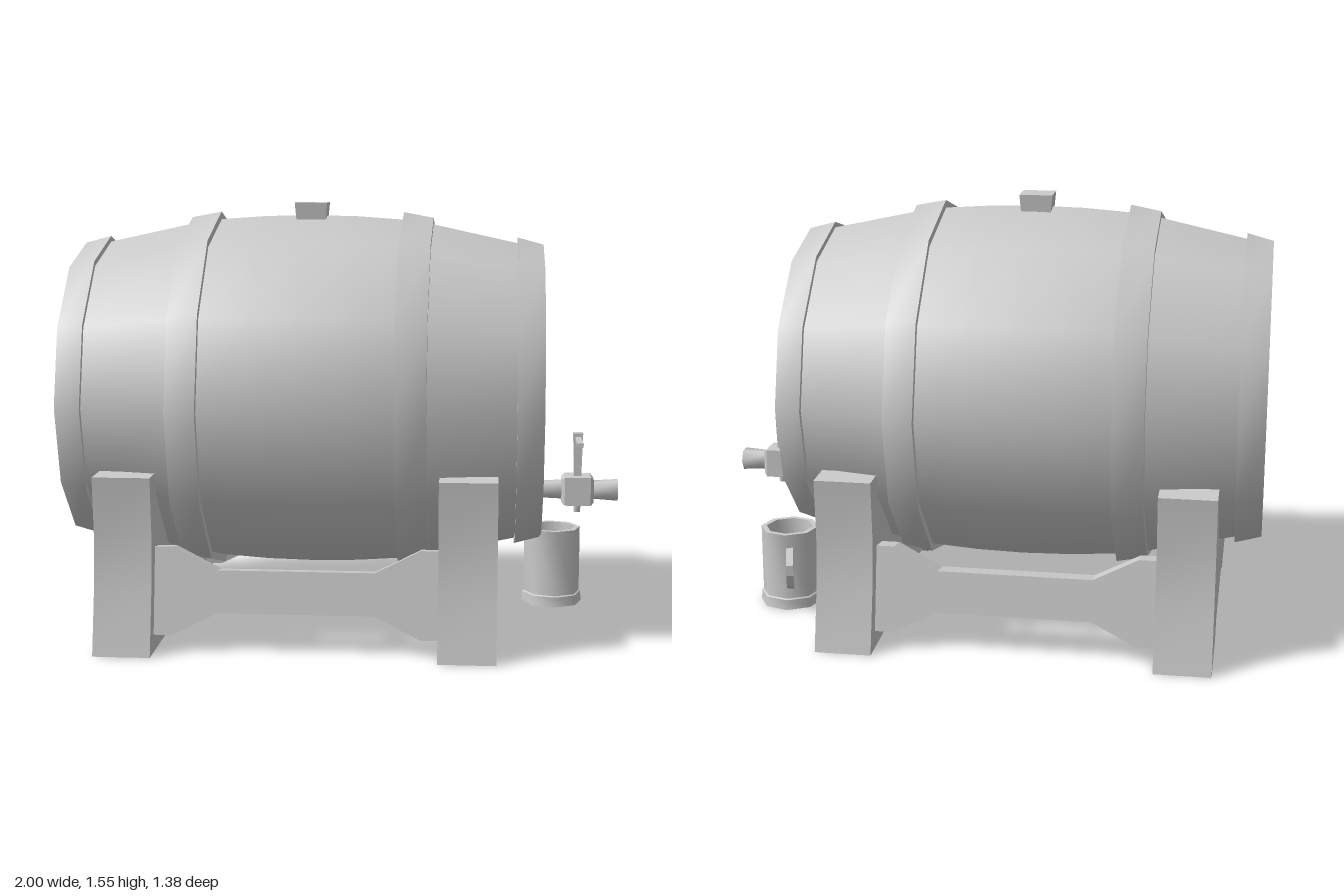
import * as THREE from 'three';
import { toCreasedNormals } from 'three/addons/utils/BufferGeometryUtils.js';

const grey = new THREE.MeshStandardMaterial({ color: 0xcccccc });
const AXIS_X = -0.145, AXIS_Y = 0.85;

function part(parent, name, geometry, crease = 0.4) {
  const mesh = new THREE.Mesh(toCreasedNormals(geometry, crease), grey);
  mesh.name = name;
  parent.add(mesh);
  return mesh;
}

const points = (list) => list.map(([a, b]) => new THREE.Vector2(a, b));

// Lathe whose axis lies along x; profile is [radius, offset along x]
function latheX(profile, sides) {
  return new THREE.LatheGeometry(points(profile), sides).rotateZ(-Math.PI / 2);
}

// Box whose top and bottom sizes differ
function taperedBox(w, h, d, bottomScale) {
  const g = new THREE.BoxGeometry(w, h, d);
  const p = g.attributes.position;
  for (let i = 0; i < p.count; i++) {
    if (p.getY(i) < 0) p.setXYZ(i, p.getX(i) * bottomScale, p.getY(i), p.getZ(i) * bottomScale);
  }
  return g;
}

function makeBarrel() {
  const barrel = new THREE.Group();
  barrel.name = 'barrel';
  barrel.position.set(AXIS_X, AXIS_Y, 0);

  // Staves and recessed heads, as one half profile mirrored about the middle
  const half = [[0, -0.795], [0.49, -0.795], [0.522, -0.854], [0.532, -0.854],
    [0.555, -0.76], [0.623, -0.45], [0.64, -0.34], [0.652, -0.17]];
  const mirrored = half.map(([r, x]) => [r, -x]).reverse();
  part(barrel, 'staves', latheX([...half, [0.656, 0], ...mirrored], 12), 0.7);

  // Hoops: [outer offset, outer radius, inner offset, inner radius]
  for (const [x0, r0, x1, r1] of [[0.855, 0.55, 0.76, 0.576], [0.45, 0.647, 0.34, 0.668]]) {
    const depth = 0.05;
    const left = latheX([[r0 - depth / 2, -x0], [r0, -x0], [r1, -x1], [r1 - depth, -x1]], 12);
    const right = latheX([[r1 - depth, x1], [r1, x1], [r0, x0], [r0 - depth / 2, x0]], 12);
    part(barrel, 'hoop', left, 0.7);
    part(barrel, 'hoop', right, 0.7);
  }

  part(barrel, 'bung', taperedBox(0.12, 0.1, 0.115, 0.85)).position.y = 0.653;
  return barrel;
}

function makeStand() {
  const stand = new THREE.Group();
  stand.name = 'stand';

  // Cradle outline: right half, then mirrored left half
  const side = [[0.3, 0.058], [0.37, 0], [0.692, 0], [0.643, 0.22], [0.625, 0.42], [0.642, 0.625], [0.52, 0.625]];
  for (let i = 1; i < 5; i++) {
    const a = THREE.MathUtils.degToRad(23 + i * 15);
    side.push([0.565 * Math.cos(a), AXIS_Y - 0.565 * Math.sin(a)]);
  }
  const outline = [...side, ...side.map(([z, y]) => [-z, y]).reverse()];
  for (const x of [-0.85, 0.35]) {
    const g = new THREE.ExtrudeGeometry(new THREE.Shape(points(outline)), { depth: 0.203, bevelEnabled: false });
    part(stand, 'cradle', g.rotateY(Math.PI / 2)).position.x = x;
  }

  // Waisted rails joining the cradles, leaning with the legs
  const rail = [[-0.52, -0.155], [-0.435, -0.155], [-0.275, -0.075], [0.275, -0.075], [0.435, -0.155], [0.52, -0.155],
    [0.52, 0.155], [0.435, 0.155], [0.275, 0.075], [-0.275, 0.075], [-0.435, 0.155], [-0.52, 0.155]];
  for (const s of [-1, 1]) {
    const g = new THREE.ExtrudeGeometry(new THREE.Shape(points(rail)), { depth: 0.09, bevelEnabled: false });
    const mesh = part(stand, 'rail', g.translate(0, 0, -0.045));
    mesh.position.set(-0.148, 0.207, s * 0.545);
    mesh.rotation.x = -s * 0.17;
  }
  return stand;
}

function makeTap() {
  const tap = new THREE.Group();
  tap.name = 'tap';
  tap.position.set(0.85, 0.485, 0);

  part(tap, 'pipe', latheX([[0.034, -0.22], [0.034, -0.14], [0.038, -0.05]], 6), 1.1);
  part(tap, 'spout', latheX([[0.036, 0.05], [0.043, 0.15], [0.03, 0.15], [0.028, 0.07], [0, 0.07]], 6), 1.1);
  // Body with bevelled edges
  const s = 0.042;
  const square = new THREE.Shape(points([[-s, -s], [s, -s], [s, s], [-s, s]]));
  const body = new THREE.ExtrudeGeometry(square,
    { depth: 0.096, bevelSize: 0.011, bevelThickness: 0.012, bevelSegments: 1 });
  part(tap, 'tapBody', body.translate(0, 0, -0.048).rotateY(Math.PI / 2), 0.2);
  part(tap, 'valveEnd', new THREE.CylinderGeometry(0.018, 0.013, 0.05, 6), 1.1).position.y = -0.06;
  part(tap, 'stem', taperedBox(0.036, 0.17, 0.036, 0.75)).position.y = 0.13;
  const lever = taperedBox(0.024, 0.17, 0.016, 0.8).rotateX(Math.PI / 2);
  part(tap, 'lever', lever).position.set(0, 0.195, 0.09);
  return tap;
}

function makeMug() {
  const mug = new THREE.Group();
  mug.name = 'mug';
  mug.position.set(0.767, 0, -0.216);
  mug.rotation.y = 0.1;

  const cup = [[0, 0], [0.117, 0], [0.114, 0.038], [0.108, 0.042], [0.108, 0.295], [0.088, 0.295], [0.086, 0.05], [0, 0.05]];
  part(mug, 'cup', new THREE.LatheGeometry(points(cup), 8), 0.85);

  // Angular handle, swept outward on the far side
  const handle = new THREE.Shape(points([[0.09, 0.245], [0.15, 0.238], [0.188, 0.205], [0.19, 0.165], [0.165, 0.115],
    [0.09, 0.075], [0.09, 0.1], [0.145, 0.13], [0.168, 0.17], [0.166, 0.195], [0.142, 0.215], [0.09, 0.222]]));
  const g = new THREE.ExtrudeGeometry(handle, { depth: 0.026, bevelEnabled: false });
  part(mug, 'mugHandle', g.translate(0, 0, -0.013)).rotation.y = Math.PI / 2 + 0.15;
  return mug;
}

export function createModel() {
  const model = new THREE.Group();
  model.name = 'barrelOnStand';
  model.add(makeBarrel(), makeStand(), makeTap(), makeMug());
  return model;
}
